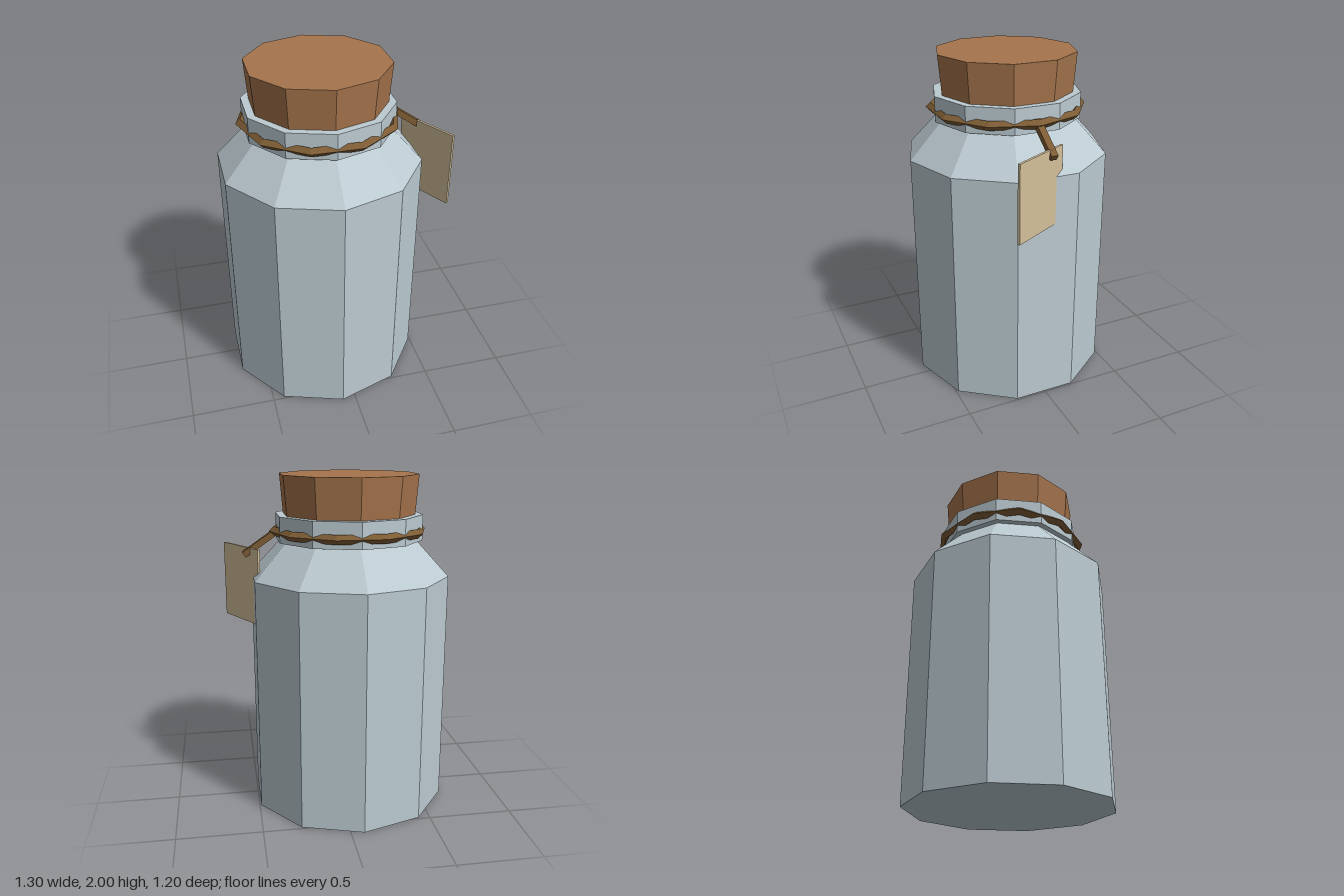
import * as THREE from 'three';

const SIDES = 10;
const AXIS_X = -0.08;

function material(name, color) {
  const m = new THREE.MeshStandardMaterial({ color, flatShading: true });
  m.name = name;
  return m;
}

export function createModel() {
  const glass = material('paleBlueGlass', 0xbccbd2);
  const corkBrown = material('corkBrown', 0xa5744c);
  const twine = material('twineBrown', 0x7d5c34);
  const paper = material('tanPaper', 0xd4c09a);

  const model = new THREE.Group();
  model.name = 'corkedJar';

  function add(parent, name, geometry, mat, x = 0, y = 0, z = 0) {
    const mesh = new THREE.Mesh(geometry, mat);
    mesh.name = name;
    mesh.position.set(x, y, z);
    parent.add(mesh);
    return mesh;
  }

  // Ten-sided round parts, all on the jar's axis
  const jar = new THREE.Group();
  jar.name = 'jar';
  jar.position.x = AXIS_X;
  model.add(jar);

  // Body and sloping shoulder in one profile
  const profile = [[0, 0], [0.6, 0], [0.6, 1.41], [0.4, 1.625], [0, 1.625]]
    .map(([r, y]) => new THREE.Vector2(r, y));
  add(jar, 'body', new THREE.LatheGeometry(profile, SIDES), glass);

  // Neck ring, slightly overhanging the shoulder
  add(jar, 'neck', new THREE.CylinderGeometry(0.44, 0.44, 0.15, SIDES), glass, 0, 1.695);

  // Tapered stopper
  add(jar, 'cork', new THREE.CylinderGeometry(0.413, 0.387, 0.32, SIDES), corkBrown, 0, 1.84);

  // Twine wrapped around the neck
  const ring = new THREE.TorusGeometry(0.443, 0.027, 4, SIDES).rotateX(Math.PI / 2);
  add(jar, 'twineRing', ring, twine, 0, 1.675);

  // Loose end of the twine holding the tag
  const cord = add(model, 'twineEnd', new THREE.BoxGeometry(0.255, 0.036, 0.04), twine, 0.435, 1.6125, 0);
  cord.rotation.z = -0.604;

  // Hanging paper tag, turned about the vertical
  const tag = add(model, 'tag', new THREE.BoxGeometry(0.39, 0.45, 0.015), paper, 0.551, 1.355, 0.083);
  tag.rotation.y = -THREE.MathUtils.degToRad(61.5);

  return model;
}
